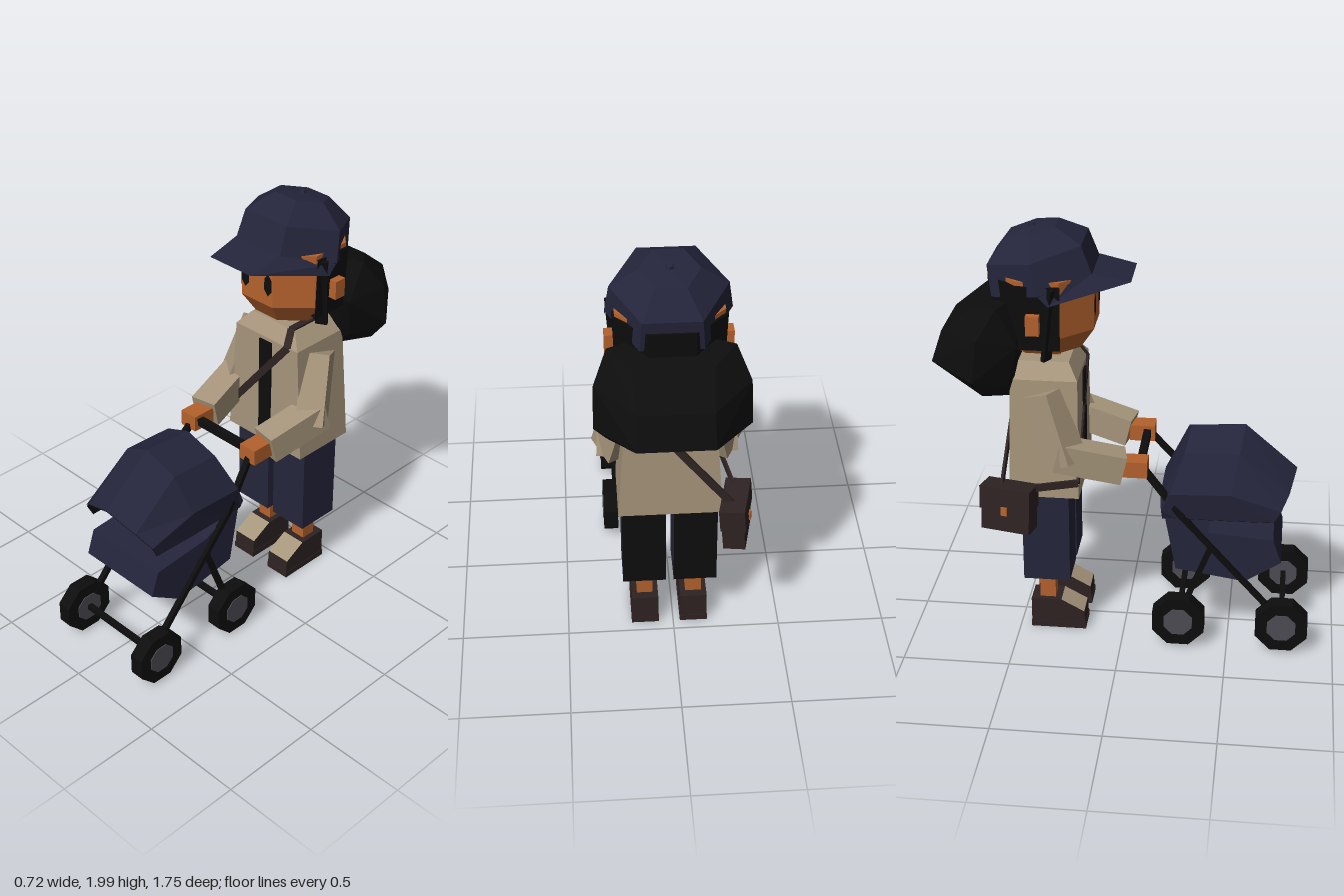
import * as THREE from 'three';
import { ConvexGeometry } from 'three/addons/geometries/ConvexGeometry.js';

const paint = (name, color, side = THREE.FrontSide) =>
  Object.assign(new THREE.MeshStandardMaterial({ color, flatShading: true, side }), { name });

export function createModel() {
  const navy = paint('navy cloth', 0x24253b);
  const black = paint('black', 0x0d0d0d, THREE.DoubleSide);
  const beige = paint('beige jacket', 0xa6957b);
  const skin = paint('skin', 0xb5622d);
  const brown = paint('dark brown leather', 0x2f2323);
  const grey = paint('hub grey', 0x4c4c53);
  const brimNavy = paint('navy brim', 0x24253b, THREE.DoubleSide);

  const model = new THREE.Group();
  const body = new THREE.Group();
  body.name = 'walker';
  body.position.x = 0.018;
  const stroller = new THREE.Group();
  stroller.name = 'stroller';
  stroller.position.x = 0.018;
  model.add(body, stroller);

  const add = (parent, name, geo, mat, x = 0, y = 0, z = 0) => {
    const m = new THREE.Mesh(geo, mat);
    m.name = name;
    m.position.set(x, y, z);
    parent.add(m);
    return m;
  };
  const box = (w, h, d) => new THREE.BoxGeometry(w, h, d);

  // straight square bar between two points
  const bar = (parent, name, a, b, w, h, mat) => {
    const p = new THREE.Vector3(...a), q = new THREE.Vector3(...b);
    const m = new THREE.Mesh(box(w, h, p.distanceTo(q)), mat);
    m.name = name;
    m.position.copy(p).lerp(q, 0.5);
    m.lookAt(q);
    parent.add(m);
    return m;
  };

  // faceted skin through rows of points
  const loft = (rows, closed = false, flip = false) => {
    const pos = [];
    for (let i = 0; i + 1 < rows.length; i++) {
      const n = rows[i].length;
      for (let j = 0; j < (closed ? n : n - 1); j++) {
        const k = (j + 1) % n;
        const a = rows[i][j], b = rows[i][k], c = rows[i + 1][k], d = rows[i + 1][j];
        const quad = flip ? [a, c, b, a, d, c] : [a, b, c, a, c, d];
        quad.forEach(p => pos.push(...p));
      }
    }
    const g = new THREE.BufferGeometry();
    g.setAttribute('position', new THREE.Float32BufferAttribute(pos, 3));
    g.computeVertexNormals();
    return g;
  };

  // side profile of [z, y] points pulled across x; rule(normal) picks the second material
  const prism = (profile, w, rule) => {
    const shape = new THREE.Shape(profile.map(p => new THREE.Vector2(...p)));
    const g = new THREE.ExtrudeGeometry(shape, { depth: w, bevelEnabled: false });
    g.rotateY(-Math.PI / 2).translate(w / 2, 0, 0);
    g.clearGroups();
    const nor = g.attributes.normal, n = new THREE.Vector3();
    for (let i = 0; i < nor.count; i += 3) {
      g.addGroup(i, 3, rule(n.fromBufferAttribute(nor, i)) ? 1 : 0);
    }
    return g;
  };
  const lathe = (pts, sides, start) =>
    new THREE.LatheGeometry(pts.map(p => new THREE.Vector2(...p)), sides, start);

  // head, neck and face
  add(body, 'head', lathe([[0, 1.43], [0.18, 1.43], [0.25, 1.53], [0.25, 1.79], [0, 1.79]], 8, Math.PI / 8), skin, 0, 0, -0.37);
  add(body, 'neck', box(0.105, 0.12, 0.1), skin, 0, 1.4, -0.35);
  for (const s of [-1, 1]) {
    const eye = add(body, 'eye', new THREE.CircleGeometry(0.055, 6, Math.PI / 2), black, s * 0.07, 1.635, -0.136);
    eye.scale.x = 0.48;
    add(body, 'ear', box(0.05, 0.09, 0.06), skin, s * 0.25, 1.6, -0.39);
    bar(body, 'sideLock', [s * 0.238, 1.76, -0.3], [s * 0.215, 1.42, -0.34], 0.055, 0.02, black).rotateZ(0);
  }

  // hair
  const deg = Math.PI / 180;
  add(body, 'hairShell', new THREE.CylinderGeometry(0.262, 0.25, 0.3, 5, 1, false, 67.5 * deg, 225 * deg), black, 0, 1.62, -0.37);
  const puff = [
    [0.1, 1.68, -0.48], [0.17, 1.64, -0.67], [0.16, 1.52, -0.82], [0.165, 1.37, -0.87],
    [0.15, 1.25, -0.71], [0.12, 1.2, -0.51], [0.33, 1.54, -0.63], [0.335, 1.34, -0.655],
    [0.28, 1.26, -0.62], [0.27, 1.67, -0.55], [0.24, 1.3, -0.51], [0.27, 1.5, -0.46]];
  add(body, 'backHair', new ConvexGeometry(puff.flatMap(([x, y, z]) =>
    [new THREE.Vector3(x, y, z), new THREE.Vector3(-x, y, z)])), black);

  // cap
  const crown = add(body, 'capCrown', lathe([[0.27, 0], [0.25, 0.145], [0.13, 0.235], [0, 0.245]], 6, Math.PI / 2), brimNavy, 0, 1.735, -0.365);
  crown.rotation.x = -0.24;
  add(crown, 'capButton', new THREE.CylinderGeometry(0.015, 0.02, 0.015, 6), navy, 0, 0.25, 0);
  add(body, 'capBrim', loft([
    [[-0.268, 1.69, -0.32], [-0.125, 1.768, 0.03], [0.125, 1.768, 0.03], [0.268, 1.69, -0.32]],
    [[-0.27, 1.735, -0.36], [-0.135, 1.805, -0.14], [0.135, 1.805, -0.14], [0.27, 1.735, -0.36]]]), brimNavy);

  // jacket
  const ring = (w, y, f, b) => [[-w, y, f], [w, y, f], [w, y, b], [-w, y, b]];
  add(body, 'jacket', loft([
    ring(0, 0.74, -0.36, -0.36), ring(0.235, 0.74, -0.2, -0.525), ring(0.195, 1.31, -0.205, -0.51),
    ring(0.135, 1.38, -0.25, -0.5), ring(0, 1.38, -0.36, -0.36)], true), beige);
  add(body, 'shirtOpening', box(0.075, 0.53, 0.008), black, 0, 1.03, -0.199);

  // arms, trousers, legs and shoes
  const shoe = [[-0.445, 0.03], [-0.445, 0.155], [-0.3, 0.155], [-0.19, 0.095], [-0.185, 0.03]];
  for (const s of [-1, 1]) {
    bar(body, 'upperArm', [s * 0.185, 1.25, -0.36], [s * 0.25, 0.93, -0.255], 0.13, 0.15, beige);
    bar(body, 'forearm', [s * 0.255, 0.98, -0.3], [s * 0.2, 0.905, 0], 0.13, 0.135, beige);
    add(body, 'hand', box(0.092, 0.078, 0.12), skin, s * 0.195, 0.905, 0.055);
    add(body, 'trouserLeg', box(0.2, 0.47, 0.22), [navy, navy, navy, black, navy, black], s * 0.118, 0.525, -0.36);
    add(body, 'shin', box(0.075, 0.2, 0.075), skin, s * 0.115, 0.22, -0.368);
    add(body, 'shoe', prism(shoe, 0.125, n => n.y > 0.5 && n.z > 0.2), [brown, beige], s * 0.115, 0, 0);
    add(body, 'sole', box(0.13, 0.03, 0.265), brown, s * 0.115, 0.015, -0.315);
  }
  add(body, 'waist', box(0.4, 0.06, 0.2), black, 0, 0.735, -0.36);

  // shoulder bag and strap
  const bag = new THREE.Group();
  bag.name = 'shoulderBag';
  bag.position.set(-0.295, 0.715, -0.515);
  bag.rotation.set(0, -0.22, -0.08);
  body.add(bag);
  add(bag, 'bagBody', box(0.1, 0.21, 0.235), brown);
  add(bag, 'bagFlap', box(0.115, 0.11, 0.245), brown, -0.002, 0.055, 0);
  add(bag, 'clasp', box(0.009, 0.04, 0.03), skin, -0.063, 0.0, 0);
  const strap = [[-0.29, 0.81, -0.42], [-0.25, 0.83, -0.2], [0.135, 1.31, -0.2], [0.115, 1.384, -0.25],
    [0.115, 1.384, -0.5], [0.135, 1.31, -0.515], [-0.27, 0.81, -0.55]];
  for (let i = 0; i + 1 < strap.length; i++) {
    const flat = i === 2 || i === 3 || i === 4;
    bar(body, 'bagStrap', strap[i], strap[i + 1], flat ? 0.035 : 0.012, flat ? 0.012 : 0.035, brown);
  }

  // canopy hood: each rib is centre, shoulder, side and lower edge as [x, y, z]
  const ribs = [
    [[0, 0.84, 0.795], [0.155, 0.78, 0.765], [0.225, 0.72, 0.73], [0.22, 0.66, 0.7]],
    [[0, 1.05, 0.55], [0.155, 0.97, 0.53], [0.243, 0.8, 0.5], [0.225, 0.66, 0.5]],
    [[0, 1.03, 0.3], [0.155, 0.96, 0.28], [0.243, 0.79, 0.22], [0.225, 0.66, 0.25]],
    [[0, 0.74, 0.17], [0.155, 0.73, 0.17], [0.235, 0.7, 0.18], [0.22, 0.655, 0.185]]];
  const hood = ribs.map(r => [...r.slice(1).reverse().map(([x, y, z]) => [-x, y, z]), ...r]);
  add(stroller, 'canopy', loft(hood), navy);
  const lining = hood.map(r => r.map(([x, y, z]) => [x * 0.98, y - 0.004, z]));
  add(stroller, 'canopyLining', loft(lining, false, true), black).material = black;

  // basket seat with dark underside and back
  const seat = [[0.7, 0.565], [0.74, 0.45], [0.575, 0.34], [0.25, 0.39], [0.19, 0.7], [0.4, 0.59]];
  add(stroller, 'seat', prism(seat, 0.44, n => n.y < -0.3 || n.z < -0.9), [navy, black]);

  // frame and wheels
  bar(stroller, 'handleBar', [-0.2, 0.91, 0.08], [0.2, 0.91, 0.08], 0.035, 0.035, black);
  for (const s of [-1, 1]) {
    bar(stroller, 'handlePole', [s * 0.19, 0.91, 0.08], [s * 0.228, 0.67, 0.28], 0.028, 0.028, black);
    bar(stroller, 'frontPole', [s * 0.228, 0.68, 0.27], [s * 0.228, 0.14, 0.755], 0.025, 0.025, black);
    bar(stroller, 'rearPole', [s * 0.228, 0.51, 0.41], [s * 0.228, 0.14, 0.27], 0.025, 0.025, black);
  }
  for (const z of [0.27, 0.755]) {
    bar(stroller, 'axle', [-0.24, 0.14, z], [0.24, 0.14, z], 0.025, 0.025, black);
    for (const s of [-1, 1]) {
      for (const [name, r, w, mat] of [['wheel', 0.132, 0.07, black], ['hub', 0.072, 0.078, grey]]) {
        const wheel = add(stroller, name, new THREE.CylinderGeometry(r, r, w, 8), mat, s * 0.253, 0.138, z);
        wheel.geometry.rotateY(Math.PI / 8).rotateZ(Math.PI / 2);
      }
    }
  }
  return model;
}
